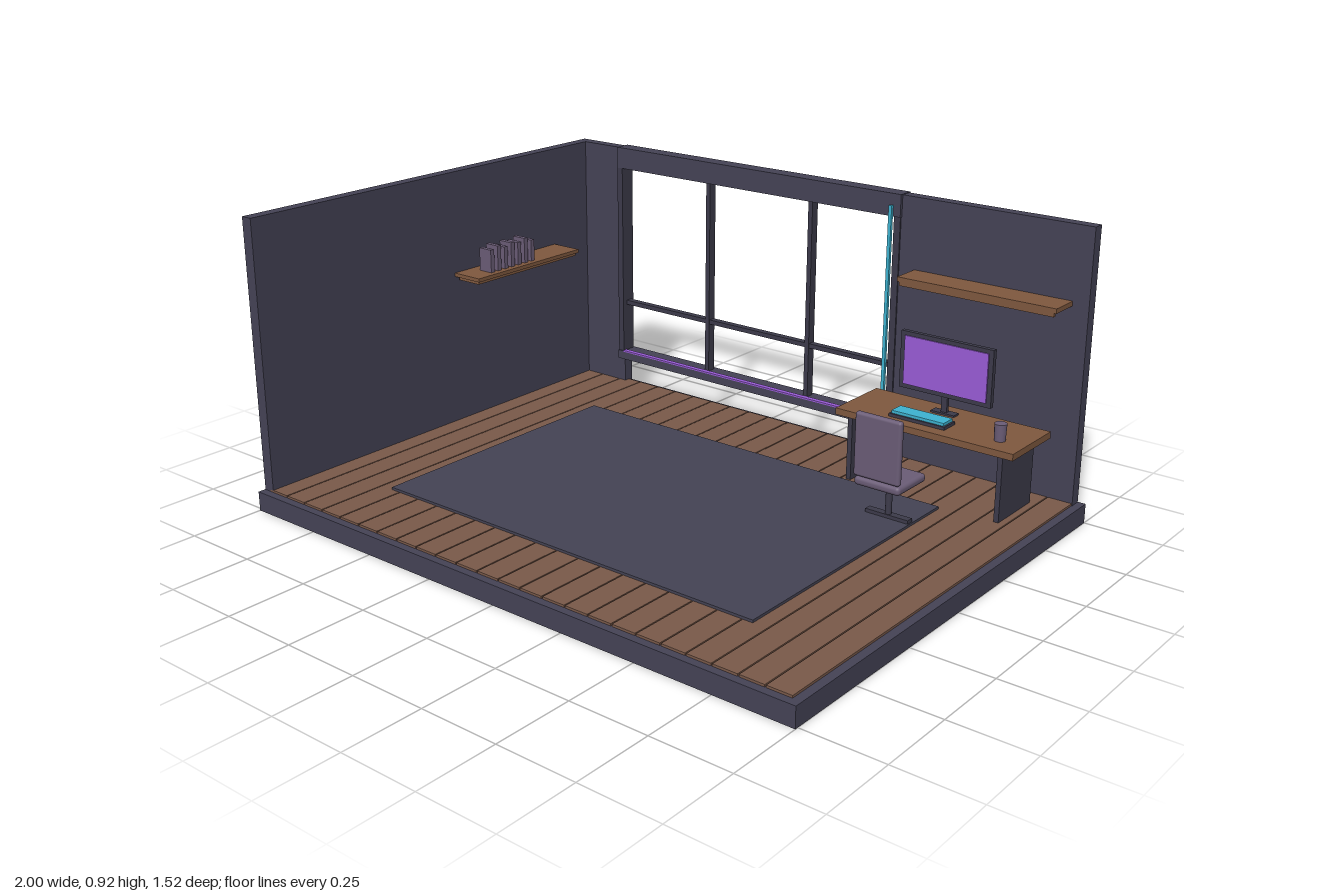
import * as THREE from 'three';
import { RoundedBoxGeometry } from 'three/addons/geometries/RoundedBoxGeometry.js';

const mat = (name, color) => {
  const m = new THREE.MeshStandardMaterial({ color });
  m.name = name;
  return m;
};

export function createModel() {
  const wall = mat('slate wall', 0x454356);
  const trim = mat('dark trim', 0x3d3b4b);
  const rugMat = mat('rug grey', 0x444354);
  const floorWood = mat('floor wood', 0x7a5a4a);
  const wood = mat('furniture wood', 0x80593f);
  const mauve = mat('mauve', 0x6b5d77);
  const violet = mat('violet glow', 0x9a5cd8);
  const cyan = mat('cyan glow', 0x3eb4d2);

  const model = new THREE.Group();
  model.name = 'room';

  const group = (name) => {
    const g = new THREE.Group();
    g.name = name;
    model.add(g);
    return g;
  };
  const add = (parent, name, geometry, material, x, y, z) => {
    const mesh = new THREE.Mesh(geometry, material);
    mesh.name = name;
    mesh.position.set(x, y, z);
    parent.add(mesh);
    return mesh;
  };
  // Box given by its limits on each axis; a radius rounds its edges
  const box = (parent, name, material, [x0, x1], [y0, y1], [z0, z1], radius = 0) => {
    const size = [x1 - x0, y1 - y0, z1 - z0];
    const geometry = radius
      ? new RoundedBoxGeometry(...size, 3, radius)
      : new THREE.BoxGeometry(...size);
    return add(parent, name, geometry, material, (x0 + x1) / 2, (y0 + y1) / 2, (z0 + z1) / 2);
  };

  // Base slab, walls and rug
  const shell = group('shell');
  box(shell, 'baseSlab', wall, [-1, 1], [0, 0.062], [-0.75, 0.76]);
  box(shell, 'leftWall', wall, [-0.998, -0.96], [0.062, 0.92], [-0.748, 0.735]);
  box(shell, 'backWallLeft', wall, [-0.96, -0.785], [0.062, 0.92], [-0.748, -0.71]);
  box(shell, 'backWallRight', wall, [0.318, 0.975], [0.062, 0.92], [-0.748, -0.71]);
  box(shell, 'rug', rugMat, [-0.684, 0.684], [0.068, 0.077], [-0.425, 0.502]);

  // Floor planks
  const floor = group('floor');
  const planks = 24, pitch = 1.95 / planks;
  for (let i = 0; i < planks; i++) {
    const x = -0.975 + i * pitch;
    box(floor, 'plank', floorWood, [x + 0.002, x + pitch - 0.002], [0.06, 0.069], [-0.73, 0.735]);
  }

  // Window frame with glow strips
  const frame = group('windowFrame');
  box(frame, 'lintel', wall, [-0.804, 0.34], [0.85, 0.922], [-0.754, -0.7]);
  box(frame, 'sill', wall, [-0.804, 0.34], [0.155, 0.185], [-0.76, -0.696]);
  box(frame, 'jamb', trim, [-0.804, -0.782], [0.185, 0.85], [-0.754, -0.7]);
  box(frame, 'jamb', trim, [0.315, 0.338], [0.185, 0.85], [-0.754, -0.705]);
  for (const x of [-0.416, -0.002]) {
    box(frame, 'mullion', trim, [x - 0.008, x + 0.008], [0.185, 0.85], [-0.745, -0.715]);
  }
  box(frame, 'crossBar', trim, [-0.785, 0.318], [0.355, 0.37], [-0.742, -0.718]);
  box(frame, 'sillGlow', violet, [-0.78, 0.315], [0.183, 0.188], [-0.712, -0.694]);
  box(frame, 'sideGlow', cyan, [0.303, 0.314], [0.19, 0.885], [-0.7, -0.69]);

  // Left shelf with books
  const shelf = group('leftShelf');
  box(shelf, 'board', wood, [-0.96, -0.848], [0.571, 0.583], [-0.54, -0.058]);
  box(shelf, 'underBoard', wood, [-0.948, -0.858], [0.56, 0.571], [-0.535, -0.066]);
  [0.66, 0.668, 0.658, 0.666, 0.66, 0.668, 0.656].forEach((top, i) => {
    const z = -0.143 - i * 0.0317;
    box(shelf, 'book', mauve, [-0.92, -0.868], [0.583, top], [z - 0.008, z + 0.008]);
  });

  // Shelf above the desk
  const upper = group('upperShelf');
  box(upper, 'board', wood, [0.393, 0.923], [0.677, 0.692], [-0.71, -0.61]);
  box(upper, 'frontStrip', wood, [0.4, 0.915], [0.665, 0.677], [-0.622, -0.611]);

  // Desk
  const desk = group('desk');
  box(desk, 'top', wood, [0.304, 0.909], [0.277, 0.298], [-0.665, -0.433]);
  for (const x of [0.35, 0.863]) {
    box(desk, 'leg', trim, [x - 0.008, x + 0.008], [0.068, 0.277], [-0.64, -0.446]);
  }

  // Monitor
  const monitor = group('monitor');
  box(monitor, 'casing', trim, [0.43, 0.746], [0.353, 0.535], [-0.606, -0.59]);
  box(monitor, 'screen', violet, [0.445, 0.731], [0.367, 0.522], [-0.59, -0.586]);
  box(monitor, 'stand', trim, [0.578, 0.598], [0.298, 0.36], [-0.606, -0.594]);
  box(monitor, 'foot', trim, [0.548, 0.628], [0.298, 0.304], [-0.615, -0.585]);

  // Keyboard and mug
  const deskItems = group('deskItems');
  box(deskItems, 'keyboardBase', trim, [0.468, 0.66], [0.298, 0.308], [-0.538, -0.474]);
  box(deskItems, 'keys', cyan, [0.474, 0.654], [0.308, 0.317], [-0.532, -0.48]);
  add(deskItems, 'mug', new THREE.CylinderGeometry(0.019, 0.017, 0.053, 20), mauve, 0.826, 0.3245, -0.508);

  // Chair facing the desk
  const chair = group('chair');
  box(chair, 'seat', mauve, [0.53, 0.685], [0.184, 0.212], [-0.342, -0.19], 0.012);
  box(chair, 'backrest', mauve, [0.53, 0.685], [0.215, 0.412], [-0.207, -0.186], 0.009);
  add(chair, 'post', new THREE.CylinderGeometry(0.01, 0.01, 0.11, 16), trim, 0.607, 0.13, -0.268);
  box(chair, 'foot', trim, [0.535, 0.68], [0.077, 0.088], [-0.28, -0.256]);

  return model;
}
